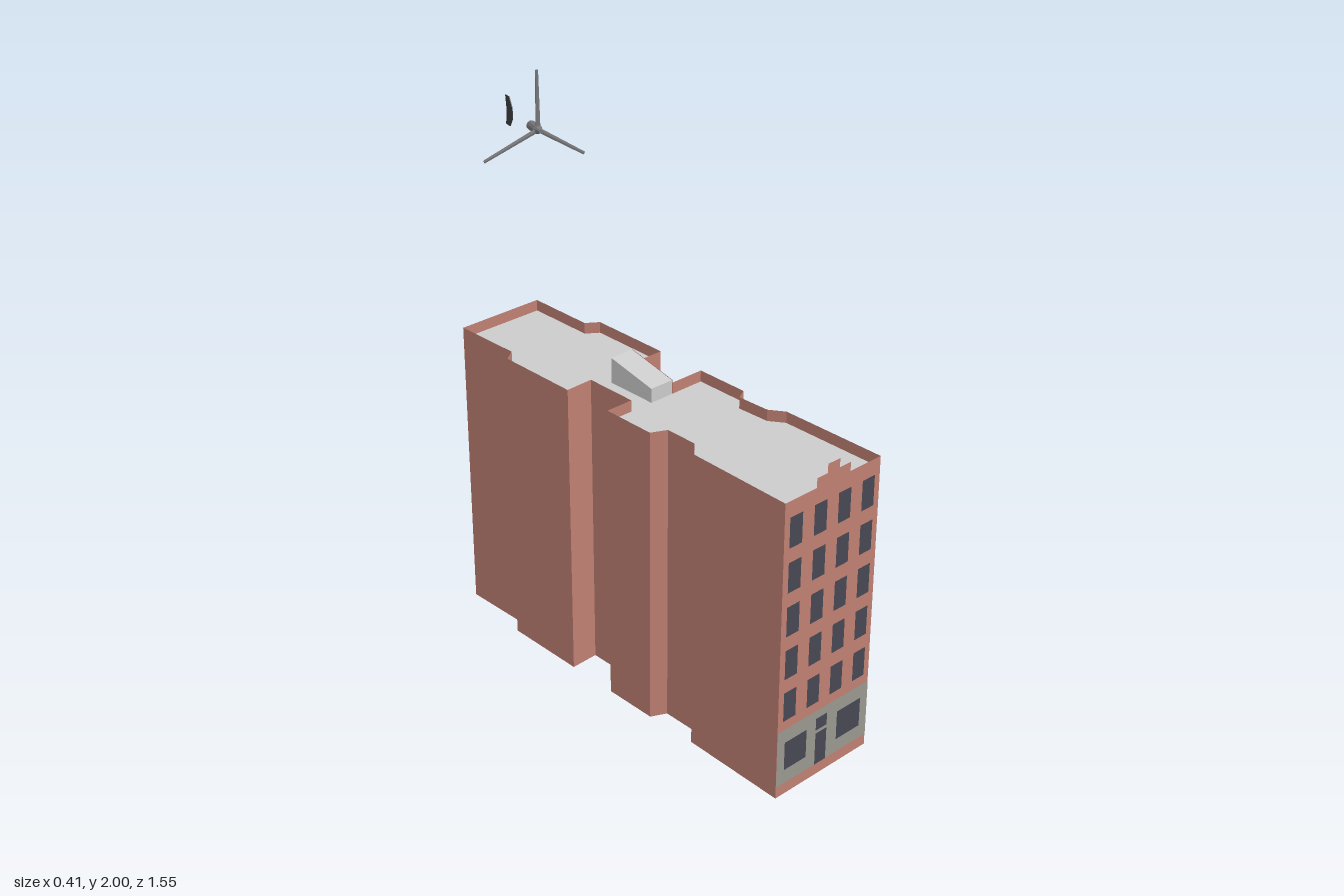
import * as THREE from 'three';

const material = (color) => new THREE.MeshStandardMaterial({ color, side: THREE.DoubleSide, flatShading: true });
const brick = material(0xc08072);
const grey = material(0xcccccc);
const shopGrey = material(0x98978f);
const glass = material(0x464852);
const metal = material(0x77777a);
const darkMetal = material(0x3c3c3e);

const WALL_TOP = 1.07, ROOF = 1.03, FRONT = 0.77;

// Footprint corners (x, z), starting at the front facade and running round the +x side
const footprint = [
  [-0.207, 0.772], [0.204, 0.772], [0.2, 0.385], [0.165, 0.335], [0.16, 0.217], [0.2, 0.195], [0.2, 0],
  [0.074, 0], [0.074, -0.19], [0.2, -0.19], [0.2, -0.492], [0.157, -0.522], [0.157, -0.773],
  [-0.167, -0.773], [-0.162, -0.522], [-0.205, -0.492], [-0.205, -0.19], [-0.104, -0.193], [-0.104, 0],
  [-0.205, 0], [-0.205, 0.195], [-0.152, 0.22], [-0.152, 0.337], [-0.2, 0.385],
];

const shapeOf = (points) => new THREE.Shape(points.map(([x, y]) => new THREE.Vector2(x, y)));

function add(parent, name, geometry, mat) {
  const mesh = new THREE.Mesh(geometry, mat);
  mesh.name = name;
  parent.add(mesh);
  return mesh;
}

// Upright wall between two footprint corners, with a top height at each end
function wallGeometry([ax, az], [bx, bz], topA, topB) {
  const g = new THREE.BufferGeometry();
  g.setAttribute('position', new THREE.Float32BufferAttribute(
    [ax, 0, az, bx, 0, bz, bx, topB, bz, ax, topA, az], 3));
  g.setIndex([0, 1, 2, 0, 2, 3]);
  g.computeVertexNormals();
  return g;
}

// Flat panel on the facade, given by its left, right, bottom and top edges
function panel(parent, name, x0, x1, y0, y1, lift, mat) {
  const mesh = add(parent, name, new THREE.PlaneGeometry(x1 - x0, y1 - y0), mat);
  mesh.position.set((x0 + x1) / 2, (y0 + y1) / 2, FRONT + 0.002 + lift);
}

function createBuilding() {
  const building = new THREE.Group();
  building.name = 'building';

  // Side and rear walls rise past the roof as a thin parapet
  for (let i = 1; i < footprint.length; i++) {
    const sloped = i === 7; // wall beside the stair bulkhead
    add(building, 'wall', wallGeometry(footprint[i], footprint[(i + 1) % footprint.length],
      sloped ? 1.08 : WALL_TOP, sloped ? 1.12 : WALL_TOP), brick);
  }

  // Facade with stepped parapet
  const facade = add(building, 'facade', new THREE.ShapeGeometry(shapeOf([
    [-0.207, 0], [0.204, 0], [0.204, WALL_TOP], [0.07, WALL_TOP], [0.07, 1.102], [0.022, 1.102],
    [0.022, 1.133], [-0.03, 1.133], [-0.03, 1.102], [-0.075, 1.102], [-0.075, WALL_TOP], [-0.207, WALL_TOP],
  ])), brick);
  facade.position.z = 0.772;

  // Roof and underside
  for (const [name, y] of [['roof', ROOF], ['underside', 0]]) {
    const slab = add(building, name,
      new THREE.ShapeGeometry(shapeOf(footprint.map(([x, z]) => [x, -z]))).rotateX(-Math.PI / 2), grey);
    slab.position.y = y;
  }

  // Stair bulkhead with sloping top
  const bulkhead = add(building, 'stairBulkhead', new THREE.ExtrudeGeometry(
    shapeOf([[0, ROOF], [0.19, ROOF], [0.19, 1.12], [0, 1.08]]),
    { depth: 0.09, bevelEnabled: false }).rotateY(Math.PI / 2), grey);
  bulkhead.position.x = -0.018;

  // Upper windows
  for (let row = 0; row < 5; row++) {
    for (let col = 0; col < 4; col++) {
      const x = -0.158 + col * 0.104, y = 0.337 + row * 0.156;
      panel(building, 'window', x - 0.027, x + 0.027, y - 0.053, y + 0.053, 0.001, glass);
    }
  }

  // Shopfront
  panel(building, 'shopfront', -0.207, 0.204, 0.042, 0.25, 0.001, shopGrey);
  panel(building, 'shopWindowRight', -0.175, -0.077, 0.095, 0.2, 0.002, glass);
  panel(building, 'shopWindowLeft', 0.062, 0.17, 0.092, 0.2, 0.002, glass);
  panel(building, 'door', -0.035, 0.015, 0.042, 0.163, 0.002, glass);
  panel(building, 'transom', -0.035, 0.015, 0.175, 0.22, 0.002, glass);
  return building;
}

function createTurbine() {
  const turbine = new THREE.Group();
  turbine.name = 'windTurbine';
  turbine.position.set(-0.012, 1.802, -0.535);
  turbine.rotation.y = -0.21;

  // Nacelle and pointed hub along the turbine's z axis
  const nacelle = add(turbine, 'nacelle', new THREE.CylinderGeometry(0.016, 0.016, 0.045, 10).rotateX(Math.PI / 2), metal);
  nacelle.position.z = -0.027;
  const hub = add(turbine, 'hub', new THREE.CylinderGeometry(0.007, 0.016, 0.02, 10).rotateX(Math.PI / 2), metal);
  hub.position.z = 0.008;

  // Tapered blades
  for (const [degrees, length] of [[90, 0.198], [200, 0.207], [326, 0.199]]) {
    const blade = add(turbine, 'blade', new THREE.CylinderGeometry(0.006, 0.009, length, 6)
      .scale(1, 1, 0.4).translate(0, length / 2, 0), metal);
    blade.rotation.z = THREE.MathUtils.degToRad(degrees - 90);
  }

  // Tail vane, free behind the nacelle
  const vane = add(turbine, 'tailVane', new THREE.ExtrudeGeometry(shapeOf([
    [0.177, -0.02], [0.195, -0.05], [0.222, -0.05], [0.215, 0], [0.222, 0.05], [0.195, 0.05], [0.177, 0.02],
  ]), { depth: 0.003, bevelEnabled: false }).rotateY(Math.PI / 2), darkMetal);
  vane.position.x = -0.0015;
  return turbine;
}

export function createModel() {
  const model = new THREE.Group();
  model.name = 'rowBuilding';
  model.add(createBuilding(), createTurbine());
  return model;
}
